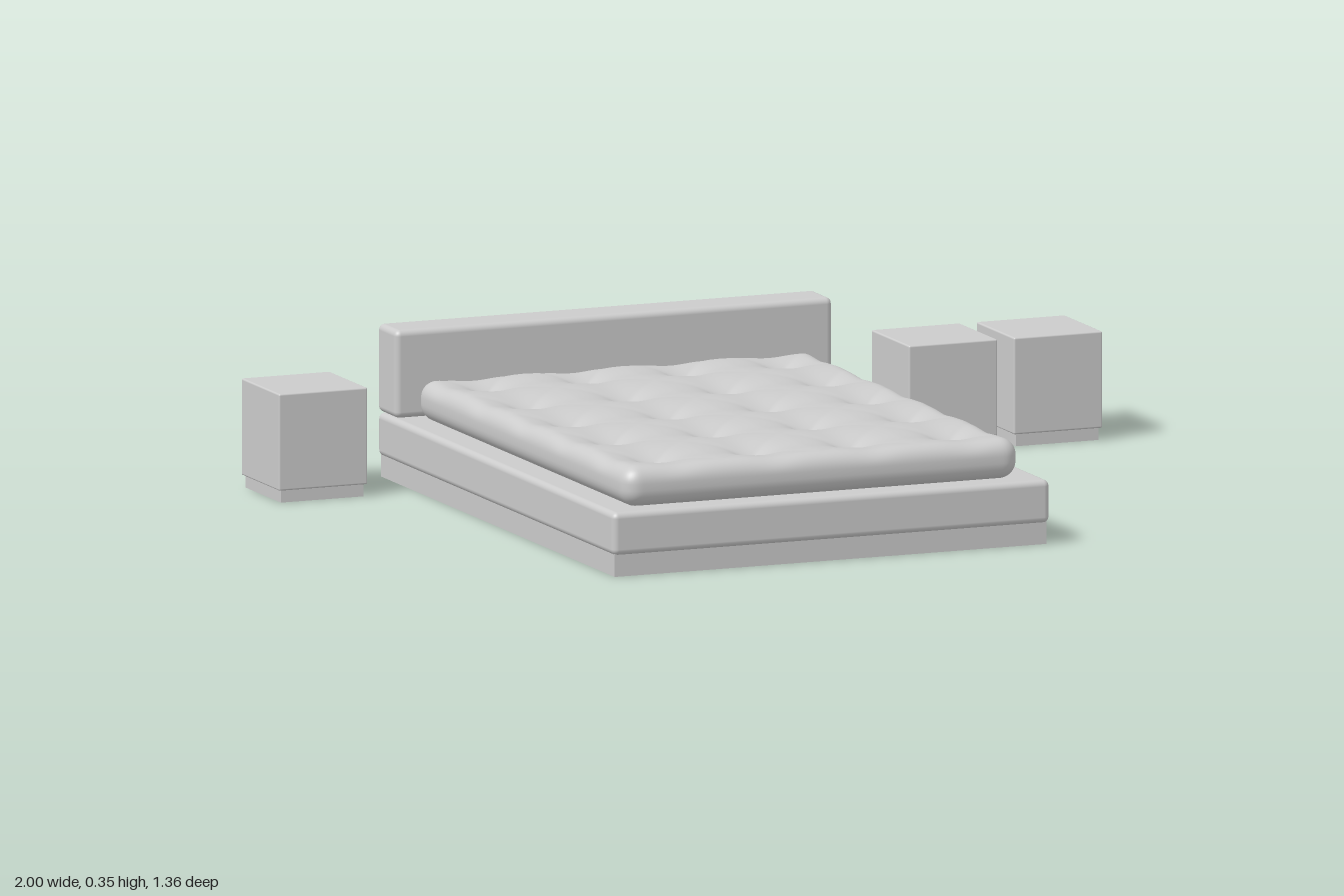
import * as THREE from 'three';
import { mergeVertices } from 'three/addons/utils/BufferGeometryUtils.js';
import { RoundedBoxGeometry } from 'three/addons/geometries/RoundedBoxGeometry.js';

const grey = new THREE.MeshStandardMaterial({ color: 0xcccccc });

// Box given by its limits on each axis; radius 0 keeps sharp edges
function box(name, [x0, x1], [y0, y1], [z0, z1], radius = 0) {
  const size = [x1 - x0, y1 - y0, z1 - z0];
  const geometry = radius
    ? new RoundedBoxGeometry(...size, 4, radius)
    : new THREE.BoxGeometry(...size);
  const mesh = new THREE.Mesh(geometry, grey);
  mesh.name = name;
  mesh.position.set((x0 + x1) / 2, (y0 + y1) / 2, (z0 + z1) / 2);
  return mesh;
}

// Depth of the button tufting: sharp pits on a grid with diagonal folds between them
function tuftDepth(x, z) {
  const pitch = 0.239;
  const near = (p, first, count) =>
    p - (first + pitch * THREE.MathUtils.clamp(Math.round((p - first) / pitch), 0, count - 1));
  const dx = near(x, -0.49, 4);
  const dz = near(z, -0.468, 5);
  const d = Math.hypot(dx, dz);
  const pit = 0.03 * Math.exp(-d / 0.038);
  const offDiagonal = Math.abs(Math.abs(dx) - Math.abs(dz));
  const fold = 0.006 * Math.exp(-offDiagonal / 0.015) * Math.exp(-d / 0.07);
  const valley = 0.004 * (Math.exp(-((dx / 0.05) ** 2)) + Math.exp(-((dz / 0.05) ** 2)));
  return pit + fold + valley;
}

// Soft rounded block whose top is pressed in by the tufts
function createMattress() {
  const half = new THREE.Vector3(0.48, 0.047, 0.605);
  const centre = new THREE.Vector3(-0.14, 0.191, 0.034);
  const radius = 0.04;
  let geometry = new THREE.BoxGeometry(half.x * 2, half.y * 2, half.z * 2, 112, 12, 140);
  geometry.deleteAttribute('uv');
  geometry.deleteAttribute('normal');
  geometry = mergeVertices(geometry, 1e-5);
  const inner = half.clone().subScalar(radius);
  const low = inner.clone().negate();
  const p = new THREE.Vector3();
  const core = new THREE.Vector3();
  const pos = geometry.attributes.position;
  for (let i = 0; i < pos.count; i++) {
    p.fromBufferAttribute(pos, i);
    core.copy(p).clamp(low, inner);
    p.sub(core).setLength(radius).add(core);
    const topness = THREE.MathUtils.smoothstep(p.y, 0, half.y);
    p.y -= topness * tuftDepth(p.x + centre.x, p.z + centre.z);
    pos.setXYZ(i, p.x, p.y, p.z);
  }
  geometry.computeVertexNormals();
  const mesh = new THREE.Mesh(geometry, grey);
  mesh.name = 'mattress';
  mesh.position.copy(centre);
  return mesh;
}

// Cube cabinet on a slightly recessed plinth
function createNightstand(name, x0) {
  const group = new THREE.Group();
  group.name = name;
  const x1 = x0 + 0.215;
  group.add(
    box('cabinet', [x0, x1], [0.028, 0.248], [-0.672, -0.455], 0.004),
    box('plinth', [x0 + 0.007, x1 - 0.007], [0, 0.028], [-0.665, -0.462])
  );
  return group;
}

export function createModel() {
  const model = new THREE.Group();
  model.name = 'bedroomSet';

  const bed = new THREE.Group();
  bed.name = 'bed';
  bed.add(
    box('bedPlinth', [-0.661, 0.388], [0, 0.052], [-0.672, 0.672]),
    box('bedFrame', [-0.667, 0.394], [0.048, 0.146], [-0.679, 0.679], 0.014),
    box('headboard', [-0.667, 0.394], [0.148, 0.348], [-0.68, -0.572], 0.014),
    createMattress()
  );
  model.add(bed);

  model.add(
    createNightstand('rightNightstand', -1),
    createNightstand('leftInnerNightstand', 0.53),
    createNightstand('leftOuterNightstand', 0.785)
  );
  return model;
}
